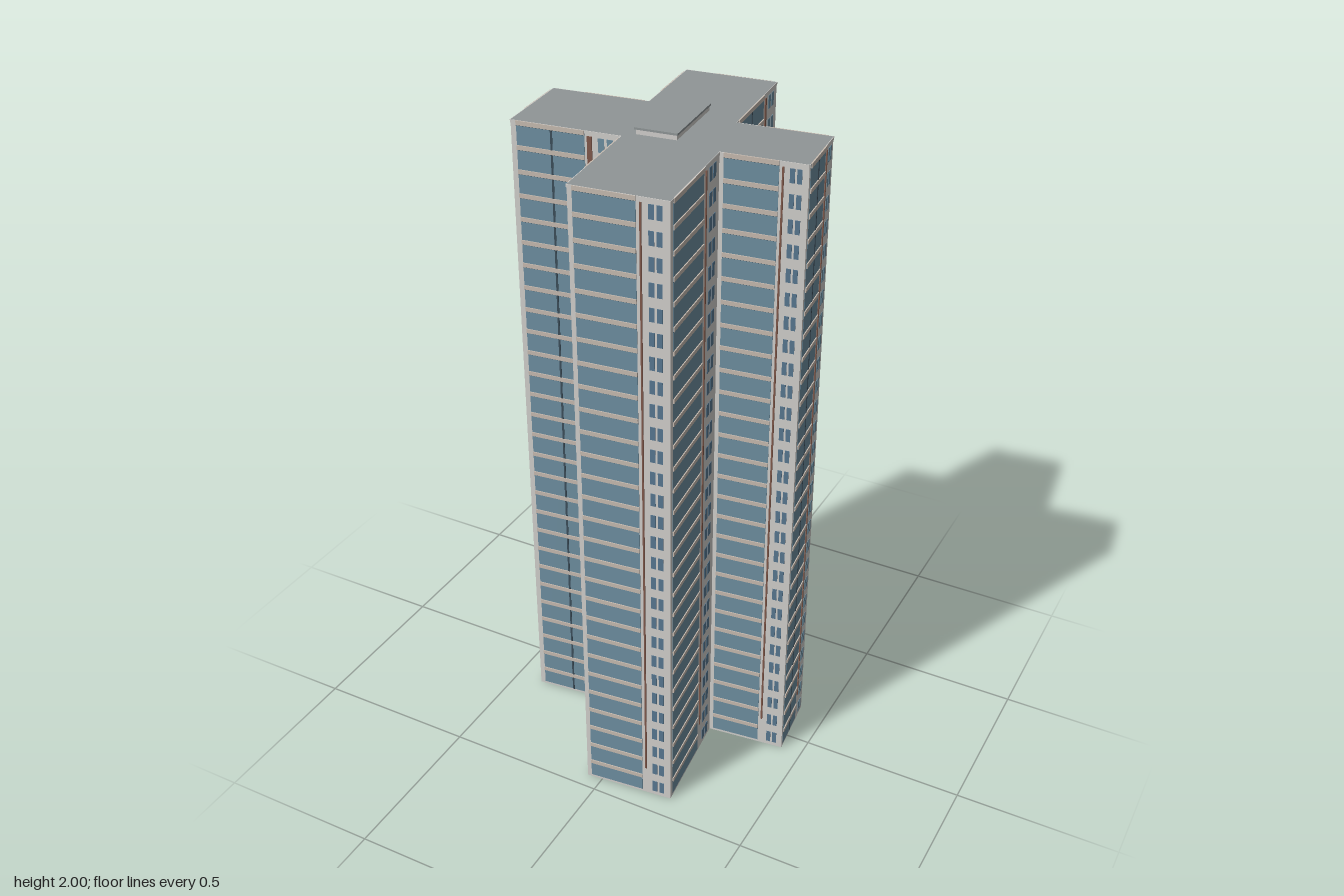
import * as THREE from 'three';
import { mergeGeometries } from 'three/addons/utils/BufferGeometryUtils.js';

const FLOORS = 28, TOP = 1.98, STEP = TOP / FLOORS;

// Cross-shaped footprint as [x, z] corners, slightly turned
const PLAN = [
  [-0.173, -0.431], [0.102, -0.458], [0.139, -0.118], [0.41, -0.147],
  [0.433, 0.06], [0.191, 0.088], [0.227, 0.426], [-0.049, 0.454],
  [-0.086, 0.111], [-0.411, 0.146], [-0.435, -0.117], [-0.145, -0.15],
];
// Facades with a balcony divider, and the width of their brown pier
const DIVIDED = { 1: 0.009, 3: 0.005, 8: 0.014, 10: 0.005 };

const mat = (name, color) => {
  const m = new THREE.MeshStandardMaterial({ color });
  m.name = name;
  return m;
};

// Box from its lower left corner on the facade, standing out by d
const plate = (x0, x1, y0, y1, d) =>
  new THREE.BoxGeometry(x1 - x0, y1 - y0, d).translate((x0 + x1) / 2, (y0 + y1) / 2, d / 2);

export function createModel() {
  const M = {
    wall: mat('pale wall', 0xd2d0cd),
    slab: mat('beige slab', 0xc8bcb1),
    glass: mat('blue glass', 0x6e8fa1),
    window: mat('deep blue window', 0x587891),
    dark: mat('dark frame', 0x3c4e5a),
    brown: mat('brown pier', 0x80594b),
    roof: mat('grey roof', 0x909697),
  };
  const model = new THREE.Group();
  model.name = 'tower';
  const add = (parent, name, geometry, material) => {
    const mesh = new THREE.Mesh(geometry, material);
    mesh.name = name;
    parent.add(mesh);
  };

  // Solid pale core and a grey roof sheet
  const shape = new THREE.Shape(PLAN.map(([x, z]) => new THREE.Vector2(x, -z)));
  const coreGeo = new THREE.ExtrudeGeometry(shape, { depth: TOP - 0.001, bevelEnabled: false });
  add(model, 'core', coreGeo.rotateX(-Math.PI / 2), M.wall);
  const roofGeo = new THREE.ShapeGeometry(shape).rotateX(-Math.PI / 2).translate(0, TOP, 0);
  add(model, 'roof', roofGeo, M.roof);

  // One facade: wide glazed balconies, a pier, and a strip with paired windows
  const makeFacade = (width, brownWidth) => {
    const facade = new THREE.Group();
    const g0 = 0.05 * width, g1 = 0.67 * width;
    const slabs = [], windows = [], sills = [];
    for (let f = 0; f < FLOORS; f++) {
      const y = f * STEP;
      // Floor slab with a thin shadow joint below it
      slabs.push(plate(g0, g1, y + STEP - 0.013, y + STEP, 0.004));
      sills.push(plate(g0, g1, y + STEP - 0.0145, y + STEP - 0.013, 0.002));
      // Paired narrow windows
      for (const u of [0.79, 0.87]) {
        windows.push(plate(u * width, (u + 0.055) * width, y + 0.014, y + 0.054, 0.0015));
      }
    }
    add(facade, 'glazing', plate(g0, g1, 0.008, TOP - 0.008, 0.001), M.glass);
    add(facade, 'floorSlabs', mergeGeometries(slabs), M.slab);
    add(facade, 'slabJoints', mergeGeometries(sills), M.dark);
    add(facade, 'narrowWindows', mergeGeometries(windows), brownWidth ? M.glass : M.window);

    // Balcony divider, interrupted by the slabs
    if (brownWidth) {
      const x = 0.37 * width;
      add(facade, 'balconyDivider', plate(x - 0.003, x + 0.003, 0.008, TOP - 0.008, 0.0025), M.dark);
    }
    // Pier beside the balconies
    const p = 0.715 * width, half = (brownWidth || 0.005) / 2;
    add(facade, 'pier', plate(p - half, p + half, 0.1, TOP - 0.015, 0.003), M.brown);
    // Roof edge
    add(facade, 'roofEdge', plate(0, width, TOP - 0.009, TOP, 0.002), M.wall);
    return facade;
  };

  PLAN.forEach(([x1, z1], i) => {
    const [x0, z0] = PLAN[(i + 1) % PLAN.length];
    const facade = makeFacade(Math.hypot(x1 - x0, z1 - z0), DIVIDED[i]);
    facade.name = 'facade' + (i + 1);
    facade.position.set(x0, 0, z0);
    facade.rotation.y = Math.atan2(z0 - z1, x1 - x0);
    model.add(facade);
  });

  // Lift housing on the roof with a thin cap
  const housing = new THREE.Group();
  housing.name = 'roofHousing';
  housing.position.set(-0.012, TOP, -0.041);
  housing.rotation.y = 0.1;
  add(housing, 'housingWalls', new THREE.BoxGeometry(0.117, 0.016, 0.237).translate(0, 0.008, 0), M.wall);
  add(housing, 'housingCap', new THREE.BoxGeometry(0.124, 0.006, 0.244).translate(0, 0.017, 0), M.roof);
  model.add(housing);

  return model;
}
